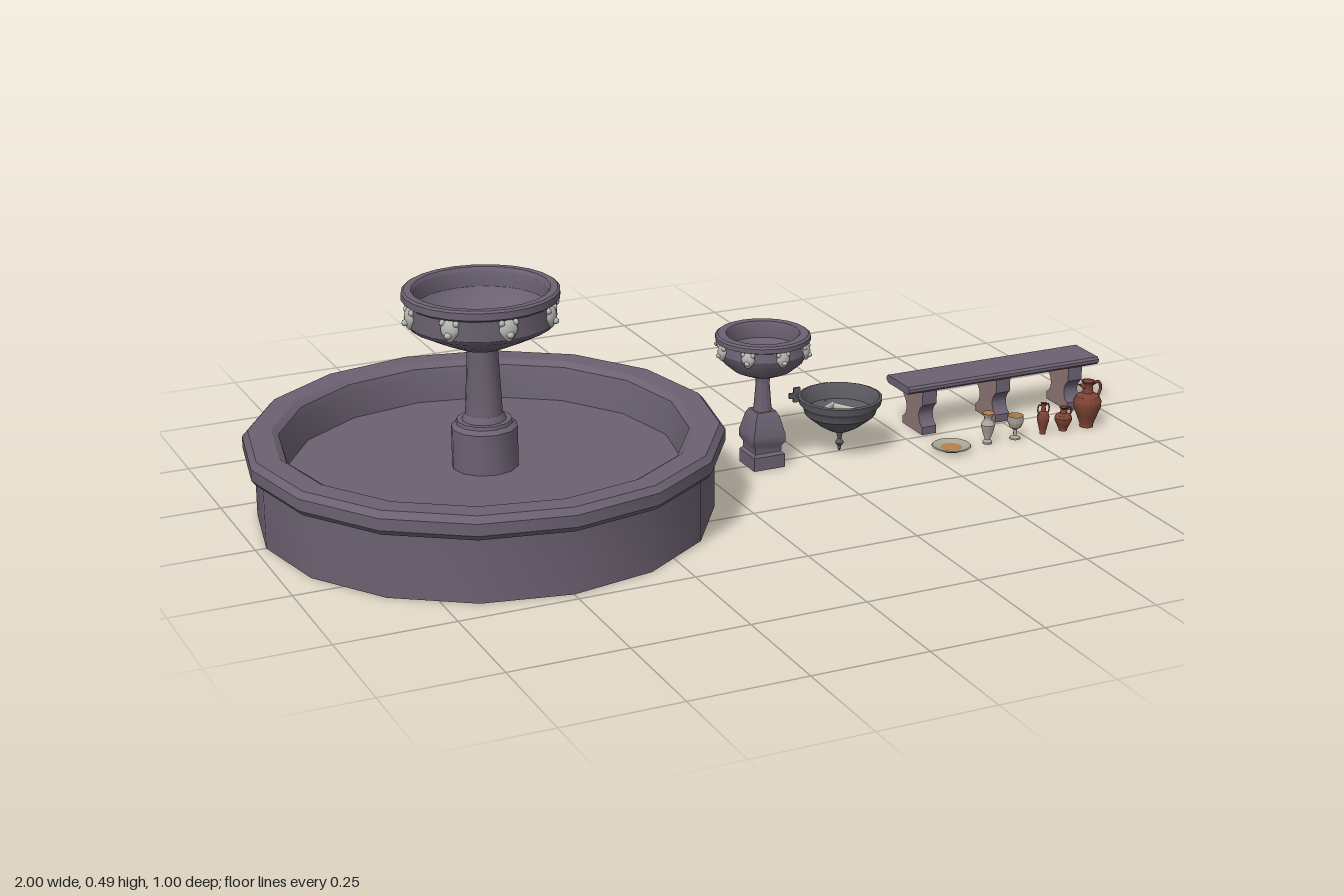
import * as THREE from 'three';
import { toCreasedNormals } from 'three/addons/utils/BufferGeometryUtils.js';

const paint = (name, color) => {
  const m = new THREE.MeshStandardMaterial({ color });
  m.name = name;
  return m;
};

export function createModel() {
  const stone = paint('stone', 0x6b6171);
  const marble = paint('marble', 0xb6b6b2);
  const legStone = paint('legStone', 0x8f7674);
  const iron = paint('iron', 0x5b595f);
  const clay = paint('clay', 0x7d4335);
  const pale = paint('paleMetal', 0xaaa59a);
  const amber = paint('amber', 0xb5804a);
  const brown = paint('brown', 0x6b4328);

  const model = new THREE.Group();
  model.name = 'fountainsAndTableware';

  const group = (name, x, z, parent = model) => {
    const g = new THREE.Group();
    g.name = name;
    g.position.set(x, 0, z);
    parent.add(g);
    return g;
  };
  const add = (parent, name, geometry, material) => {
    const mesh = new THREE.Mesh(geometry, material);
    mesh.name = name;
    parent.add(mesh);
    return mesh;
  };
  // Turned part from [radius, height] pairs, bottom to top and back inside
  const turned = (parent, name, pts, material, sides = 24, start = 0) => {
    const g = new THREE.LatheGeometry(pts.map(p => new THREE.Vector2(p[0], p[1])), sides, start);
    return add(parent, name, toCreasedNormals(g, 0.55), material);
  };
  const tube = (parent, name, pts, r, material) => add(parent, name,
    new THREE.TubeGeometry(new THREE.CatmullRomCurve3(pts.map(p => new THREE.Vector3(...p))), 12, r, 6), material);
  const rod = (parent, name, a, b, r, material) => {
    const va = new THREE.Vector3(...a), vb = new THREE.Vector3(...b);
    const m = add(parent, name, new THREE.CylinderGeometry(r, r, va.distanceTo(vb), 6), material);
    m.position.copy(va).lerp(vb, 0.5);
    m.quaternion.setFromUnitVectors(new THREE.Vector3(0, 1, 0), vb.sub(va).normalize());
  };

  // Animal mask: a sphere narrowed to the chin, with ears and a muzzle
  const headGeo = new THREE.SphereGeometry(1, 12, 10);
  const hp = headGeo.attributes.position;
  for (let i = 0; i < hp.count; i++) {
    const y = hp.getY(i);
    hp.setX(i, hp.getX(i) * (y < 0 ? 1 + 0.45 * y : 1));
  }
  headGeo.computeVertexNormals();
  const ballGeo = new THREE.SphereGeometry(1, 8, 6);
  const spoutHeads = (parent, radius, y, size) => {
    for (let i = 0; i < 8; i++) {
      const a = i * Math.PI / 4;
      const head = group('spoutHead', Math.sin(a) * radius, Math.cos(a) * radius, parent);
      head.position.y = y;
      head.rotation.y = a;
      add(head, 'face', headGeo, marble).scale.set(size * 0.85, size, size * 0.5);
      const muzzle = add(head, 'muzzle', ballGeo, marble);
      muzzle.scale.set(size * 0.35, size * 0.3, size * 0.4);
      muzzle.position.set(0, -size * 0.3, size * 0.4);
      for (const s of [-1, 1]) {
        const ear = add(head, 'ear', ballGeo, marble);
        ear.scale.setScalar(size * 0.28);
        ear.position.set(s * size * 0.62, size * 0.68, size * 0.1);
      }
    }
  };

  // Large pool fountain
  const pool = group('poolFountain', -0.5, 0);
  turned(pool, 'poolBasin', [[0, 0], [0.477, 0], [0.477, 0.138], [0.49, 0.138], [0.5, 0.15], [0.5, 0.175],
    [0.488, 0.188], [0.44, 0.188], [0.425, 0.178], [0.42, 0.16], [0.412, 0.105], [0, 0.105]], stone, 16);
  turned(pool, 'columnBase', [[0.07, 0.1], [0.07, 0.192], [0.06, 0.2], [0.058, 0.207], [0, 0.207]], stone, 12);
  turned(pool, 'column', [[0.048, 0.2], [0.045, 0.212], [0.039, 0.22], [0.032, 0.36], [0.034, 0.375]], stone, 16);
  turned(pool, 'upperBowl', [[0, 0.367], [0.05, 0.367], [0.1, 0.39], [0.15, 0.416], [0.156, 0.425], [0.156, 0.467],
    [0.163, 0.472], [0.163, 0.487], [0.158, 0.491], [0.143, 0.491], [0.138, 0.483], [0.137, 0.45],
    [0.115, 0.42], [0.07, 0.4], [0, 0.393]], stone);
  spoutHeads(pool, 0.153, 0.445, 0.024);

  // Small pedestal fountain
  const small = group('pedestalFountain', 0.142, 0);
  const q = Math.SQRT2;
  turned(small, 'pedestal', [[0, 0], [0.037 * q, 0], [0.037 * q, 0.03], [0.031 * q, 0.036], [0.031 * q, 0.048],
    [0.038 * q, 0.06], [0.038 * q, 0.075], [0.028 * q, 0.115], [0.022 * q, 0.127], [0, 0.127]], stone, 4, Math.PI / 4);
  turned(small, 'stem', [[0.022, 0.12], [0.019, 0.14], [0.015, 0.19], [0.018, 0.215]], stone, 12);
  turned(small, 'bowl', [[0, 0.205], [0.03, 0.207], [0.065, 0.222], [0.088, 0.242], [0.097, 0.265], [0.093, 0.284],
    [0.103, 0.288], [0.103, 0.298], [0.098, 0.302], [0.08, 0.302], [0.077, 0.295], [0.078, 0.265],
    [0.06, 0.24], [0, 0.225]], stone);
  spoutHeads(small, 0.097, 0.27, 0.018);

  // Brazier with wall bracket
  const brazier = group('brazier', 0.332, 0);
  turned(brazier, 'brazierBowl', [[0, 0], [0.004, 0.006], [0.004, 0.012], [0.01, 0.02], [0.004, 0.03], [0.008, 0.045],
    [0.022, 0.05], [0.045, 0.063], [0.078, 0.09], [0.082, 0.105], [0.09, 0.113], [0.093, 0.128], [0.087, 0.13],
    [0.08, 0.118], [0.074, 0.096], [0.045, 0.076], [0, 0.07]], iron, 20);
  for (const [x, z, turn] of [[-0.01, -0.035, 0.7], [-0.035, 0.012, -0.5], [0.022, 0.03, 0.9], [0.02, -0.01, -0.8]]) {
    const log = add(brazier, 'stick', new THREE.CylinderGeometry(0.008, 0.008, 0.055, 7), marble);
    log.rotation.set(0, turn, Math.PI / 2 - 0.1);
    log.position.set(x, 0.092, z);
  }
  for (const s of [-1, 1]) rod(brazier, 'bracketArm', [s * 0.036, 0.09, -0.139], [0, 0.09, -0.088], 0.004, iron);
  rod(brazier, 'bracketStem', [0, 0.09, -0.09], [0, 0.09, -0.07], 0.005, iron);
  add(brazier, 'bracketBar', new THREE.BoxGeometry(0.11, 0.012, 0.006), iron).position.set(0, 0.09, -0.14);
  for (const s of [-1, 1])
    add(brazier, 'wallPlate', new THREE.BoxGeometry(0.016, 0.034, 0.006), iron).position.set(s * 0.036, 0.091, -0.14);

  // Bench: slab with softened long edges
  const bench = group('bench', 0.7525, -0.052);
  const slab = new THREE.Shape([[-0.052, 0.108], [-0.045, 0.102], [0.045, 0.102], [0.052, 0.108],
    [0.052, 0.115], [0.047, 0.12], [-0.047, 0.12], [-0.052, 0.115]].map(p => new THREE.Vector2(...p)));
  const alongX = (shape, length) => new THREE.ExtrudeGeometry(shape, { depth: length, bevelEnabled: false, curveSegments: 6 })
    .translate(0, 0, -length / 2).rotateY(Math.PI / 2);
  add(bench, 'benchTop', alongX(slab, 0.495), stone);

  // Bench legs: waisted scroll outline with a different face colour
  const leg = new THREE.Shape();
  leg.moveTo(-0.045, 0);
  leg.lineTo(0.045, 0);
  leg.lineTo(0.045, 0.018);
  leg.quadraticCurveTo(0.028, 0.026, 0.028, 0.045);
  leg.quadraticCurveTo(0.03, 0.06, 0.044, 0.07);
  leg.lineTo(0.044, 0.103);
  leg.lineTo(-0.044, 0.103);
  leg.lineTo(-0.044, 0.07);
  leg.quadraticCurveTo(-0.03, 0.06, -0.028, 0.045);
  leg.quadraticCurveTo(-0.028, 0.026, -0.045, 0.018);
  const legGeo = alongX(leg, 0.036);
  for (const x of [-0.19, 0, 0.19])
    add(bench, 'benchLeg', legGeo, [legStone, stone]).position.x = x;

  // Serving dish
  const dish = group('dish', 0.56, 0.098);
  turned(dish, 'dishUnderside', [[0, 0], [0.024, 0], [0.028, 0.004], [0.044, 0.009]], brown);
  turned(dish, 'dishRim', [[0.044, 0.009], [0.042, 0.011], [0.024, 0.006]], pale);
  turned(dish, 'dishCentre', [[0.024, 0.006], [0, 0.005]], amber);

  // Pale beaker and goblet with amber insides
  const beaker = group('beaker', 0.652, 0.098);
  turned(beaker, 'beakerBody', [[0, 0], [0.011, 0], [0.011, 0.004], [0.006, 0.01], [0.013, 0.03], [0.016, 0.045],
    [0.009, 0.056], [0.009, 0.062], [0.014, 0.072]], pale, 14);
  turned(beaker, 'beakerInside', [[0.014, 0.072], [0.008, 0.06], [0, 0.058]], amber, 14);
  const goblet = group('goblet', 0.723, 0.098);
  turned(goblet, 'gobletBody', [[0, 0], [0.013, 0], [0.012, 0.003], [0.004, 0.008], [0.004, 0.022], [0.013, 0.028],
    [0.018, 0.04], [0.018, 0.055]], pale, 14);
  turned(goblet, 'gobletInside', [[0.018, 0.055], [0.015, 0.04], [0, 0.031]], amber, 14);

  // Clay jars, with their handles
  const jar = (name, x, w, h, handles) => {
    const g = group(name, x, 0.098);
    turned(g, 'jarBody', [[0, 0], [0.5, 0], [0.48, 0.06], [0.72, 0.25], [0.98, 0.45], [1, 0.56], [0.8, 0.68],
      [0.4, 0.75], [0.34, 0.86], [0.36, 0.94], [0.5, 1], [0.4, 1], [0.24, 0.86], [0, 0.8]].map(p => [p[0] * w, p[1] * h]), clay, 16);
    for (const s of handles)
      tube(g, 'handle', [[s * w * 0.35, h * 0.92, 0], [s * w * 0.85, h * 0.95, 0], [s * w * 1.05, h * 0.8, 0],
        [s * w * 0.85, h * 0.64, 0]], w * 0.11, clay);
    return g;
  };
  jar('amphora', 0.795, 0.014, 0.073, [-1, 1]);
  jar('jug', 0.848, 0.02, 0.055, [1]);
  const pitcher = jar('pitcher', 0.91, 0.032, 0.108, [1]);
  const lip = add(pitcher, 'spout', new THREE.ConeGeometry(0.008, 0.026, 8), clay);
  lip.position.set(-0.017, 0.1, 0);
  lip.rotation.z = 1.2;

  return model;
}
